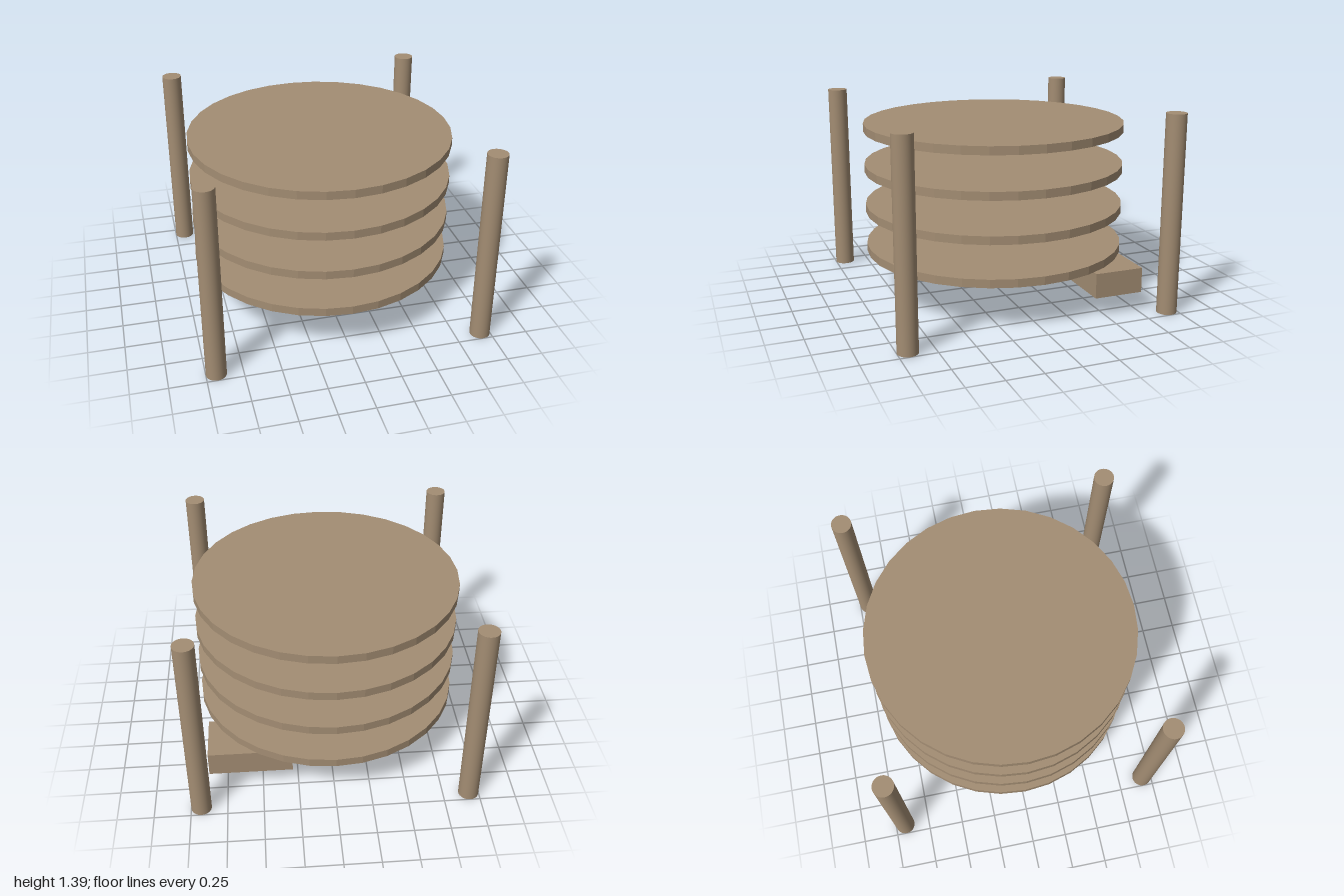
import * as THREE from 'three';

export function createModel() {
  const model = new THREE.Group();
  const wood = new THREE.MeshStandardMaterial({ color: 0xa38d73 });
  wood.name = 'lightWood';

  const add = (name, geometry, x, y, z) => {
    const mesh = new THREE.Mesh(geometry, wood);
    mesh.name = name;
    mesh.position.set(x, y, z);
    model.add(mesh);
  };

  // Four corner posts, standing clear of the shelves
  const postHeight = 1.395;
  const post = new THREE.CylinderGeometry(0.07, 0.07, postHeight, 32);
  for (const [side, x] of [['left', 0.93], ['right', -0.93]]) {
    for (const [end, z] of [['Front', 0.93], ['Back', -0.93]]) {
      add(`${side}${end}Post`, post, x, postHeight / 2, z);
    }
  }

  // Four evenly stacked round shelves with faceted rims
  const shelf = new THREE.CylinderGeometry(0.928, 0.928, 0.058, 32).toNonIndexed();
  shelf.computeVertexNormals();
  for (let i = 0; i < 4; i++) add(`shelf${i + 1}`, shelf, 0, 0.35 + i * 0.2917, 0);

  // Block tucked under the lowest shelf at the back left
  add('block', new THREE.BoxGeometry(0.58, 0.175, 0.35), 0.58, 0.2335, -0.583);

  return model;
}
